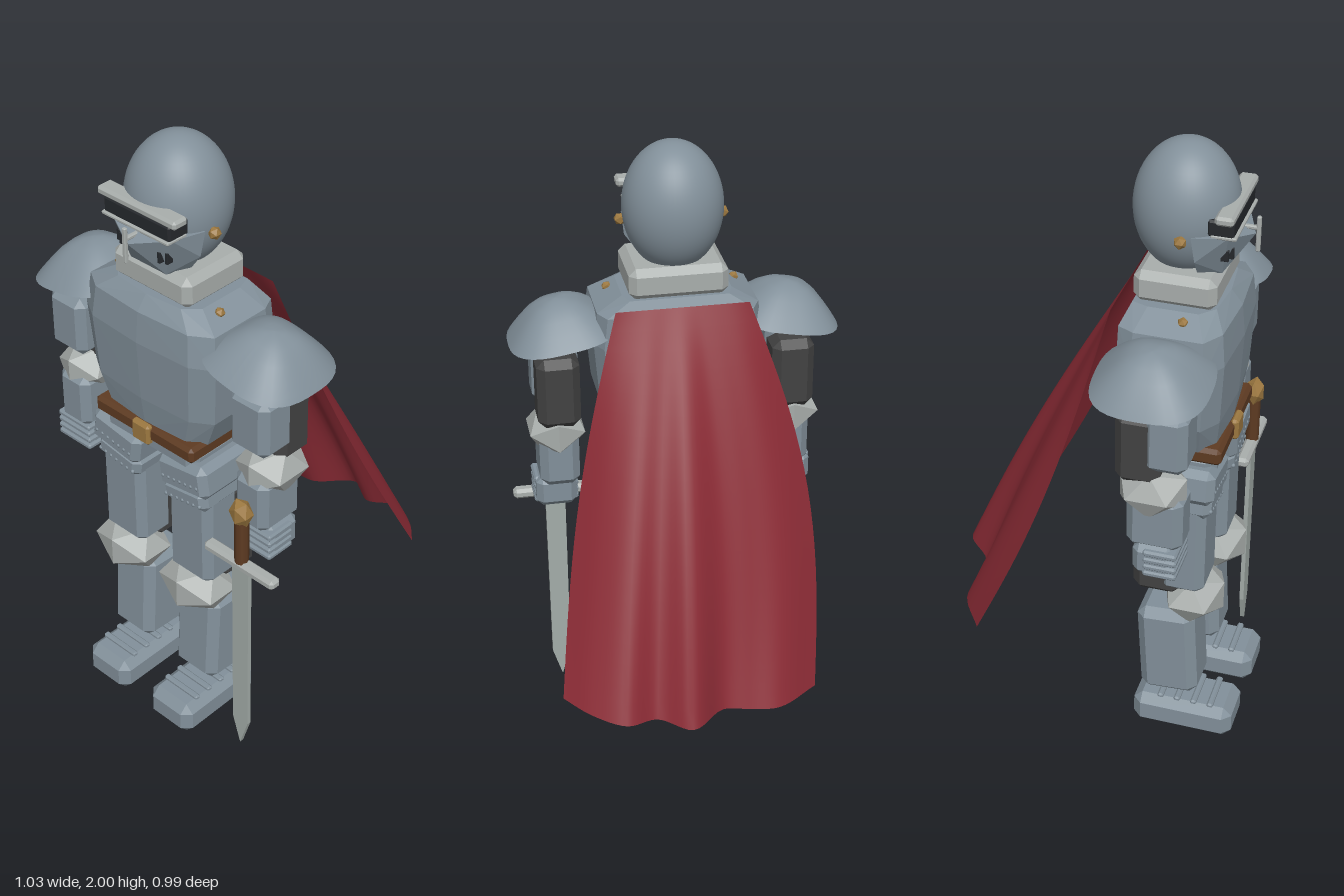
import * as THREE from 'three';
import { ConvexGeometry } from 'three/addons/geometries/ConvexGeometry.js';

const V = (x, y, z) => new THREE.Vector3(x, y, z);
const material = (name, color, side = THREE.FrontSide) => {
  const m = new THREE.MeshStandardMaterial({ color, side });
  m.name = name;
  return m;
};

// Box with all edges cut at 45 degrees
function chamferBox(w, h, d, c) {
  const pts = [];
  for (const x of [-1, 1]) for (const y of [-1, 1]) for (const z of [-1, 1]) {
    pts.push(V(x * w / 2, y * (h / 2 - c), z * (d / 2 - c)));
    pts.push(V(x * (w / 2 - c), y * h / 2, z * (d / 2 - c)));
    pts.push(V(x * (w / 2 - c), y * (h / 2 - c), z * d / 2));
  }
  return new ConvexGeometry(pts);
}

// Faceted ball stretched to the given half sizes
function facetBall(rx, ry, rz) {
  const g = new THREE.IcosahedronGeometry(1, 0);
  g.scale(rx / 0.851, ry / 0.851, rz / 0.851);
  g.computeVertexNormals();
  return g;
}

// Shoulder dome: a lathe whose round plan is pushed towards a rounded square
function pauldronShape() {
  const profile = [[0, 0.112], [0.03, 0.11], [0.065, 0.098], [0.1, 0.074], [0.135, 0.04], [0.158, 0.016], [0.172, 0]];
  const g = new THREE.LatheGeometry(profile.map(p => new THREE.Vector2(...p)), 40);
  const p = g.attributes.position;
  for (let i = 0; i < p.count; i++) {
    const x = p.getX(i), z = p.getZ(i), r = Math.hypot(x, z);
    if (r < 1e-6) continue;
    const k = Math.pow(Math.abs(x / r) ** 2.8 + Math.abs(z / r) ** 2.8, -1 / 2.8);
    p.setX(i, x * k);
    p.setZ(i, z * k);
  }
  g.computeVertexNormals();
  return g;
}

// Billowing cloth: straight at the neck, following a wavy hem below
function capeShape() {
  const hem = new THREE.CatmullRomCurve3([
    V(-0.345, 0.375, -0.315), V(-0.21, 0.372, -0.4), V(-0.11, 0.38, -0.4), V(-0.03, 0.39, -0.4),
    V(0.08, 0.395, -0.49), V(0.18, 0.405, -0.43), V(0.28, 0.42, -0.465), V(0.38, 0.435, -0.41), V(0.455, 0.45, -0.33)]);
  const nu = 48, nv = 20;
  const g = new THREE.PlaneGeometry(1, 1, nu, nv);
  const p = g.attributes.position;
  for (let j = 0; j <= nv; j++) for (let i = 0; i <= nu; i++) {
    const u = i / nu, t = j / nv, s = u * 2 - 1, b = hem.getPoint(u);
    const swell = Math.sin(Math.PI * t);
    const x = THREE.MathUtils.lerp(s * 0.205, b.x, t) + swell * s * (s < 0 ? 0.09 : 0.025);
    const y = THREE.MathUtils.lerp(1.535, b.y, t);
    const z = THREE.MathUtils.lerp(0.085, b.z, t) + swell * (0.045 * s * s - 0.025 * (1 - s * s));
    p.setXYZ(j * (nu + 1) + i, x, y, z);
  }
  g.computeVertexNormals();
  return g;
}

export function createModel() {
  const model = new THREE.Group();
  model.name = 'armouredKnight';
  const steel = material('steel', 0x82909a, THREE.DoubleSide);
  const pale = material('paleSteel', 0xa9aeac);
  const bladeMat = material('bladeSteel', 0xa3aca8);
  const dark = material('darkPadding', 0x424242);
  const slitMat = material('slitBlack', 0x25282c);
  const leather = material('leather', 0x5e3b22);
  const brass = material('brass', 0x9c7840);
  const cloth = material('redCloth', 0x8a2b35, THREE.DoubleSide);

  const add = (name, geo, mat, x, y, z, rx = 0, rz = 0) => {
    const m = new THREE.Mesh(geo, mat);
    m.name = name;
    m.position.set(x, y, z);
    m.rotation.set(rx, 0, rz);
    model.add(m);
    return m;
  };
  // Block given by its minimum and maximum on each axis
  const block = (name, mat, x0, x1, y0, y1, z0, z1, c = 0.02, rx = 0, rz = 0) =>
    add(name, chamferBox(x1 - x0, y1 - y0, z1 - z0, c), mat, (x0 + x1) / 2, (y0 + y1) / 2, (z0 + z1) / 2, rx, rz);

  // Breastplate: convex hull of level rings [y, half width, back z, front z]
  const chest = [];
  for (const [y, w, zb, zf] of [[1.09, 0.2, 0.13, 0.405], [1.2, 0.247, 0.115, 0.42], [1.4, 0.263, 0.113, 0.43],
    [1.5, 0.25, 0.115, 0.42], [1.545, 0.17, 0.135, 0.385]]) {
    for (const s of [-1, 1]) {
      chest.push(V(s * w * 0.9, y, zb), V(s * w, y, zb + 0.05), V(s * w, y, zf - 0.05), V(s * w * 0.74, y, zf - 0.008));
    }
    chest.push(V(0, y, zf + 0.004));
  }
  add('breastplate', new ConvexGeometry(chest), steel, 0, 0, 0);
  block('collar', pale, -0.153, 0.153, 1.54, 1.64, 0.132, 0.378, 0.022);

  // Belt and hips
  block('belt', leather, -0.203, 0.203, 1.055, 1.11, 0.12, 0.424, 0.012);
  block('buckle', brass, -0.036, 0.036, 1.045, 1.115, 0.41, 0.436, 0.008);
  block('hips', steel, -0.19, 0.19, 0.99, 1.08, 0.145, 0.405, 0.03);

  // Helmet
  const helmet = add('helmet', new THREE.SphereGeometry(1, 48, 32), steel, 0, 1.8, 0.25);
  helmet.scale.set(0.155, 0.2, 0.156);
  block('eyeSlit', slitMat, -0.128, 0.128, 1.772, 1.822, 0.34, 0.417, 0.006);
  block('brow', pale, -0.152, 0.152, 1.819, 1.847, 0.365, 0.42, 0.008);
  block('visorRim', pale, -0.13, 0.13, 1.767, 1.778, 0.35, 0.425, 0.003);
  const visorPts = [V(0, 1.735, 0.452)];
  for (const s of [-1, 1]) {
    visorPts.push(V(s * 0.15, 1.77, 0.3), V(s * 0.12, 1.77, 0.4), V(s * 0.14, 1.69, 0.31),
      V(s * 0.1, 1.635, 0.31), V(s * 0.07, 1.632, 0.375));
  }
  add('visor', new ConvexGeometry(visorPts), steel, 0, 0, 0);
  block('visorRidge', pale, -0.007, 0.007, 1.68, 1.79, 0.453, 0.466, 0.003);
  block('visorStrut', pale, -0.007, 0.007, 1.748, 1.76, 0.39, 0.46, 0.003);

  const dome = pauldronShape();
  const rivet = new THREE.SphereGeometry(0.007, 8, 6);
  for (const s of [1, -1]) {
    const side = s > 0 ? 'left' : 'right';
    // Mirrored block: inner and outer x measured from the middle
    const pair = (name, mat, xi, xo, y0, y1, z0, z1, c, rx, rz = 0) =>
      block(side + name, mat, s > 0 ? xi : -xo, s > 0 ? xo : -xi, y0, y1, z0, z1, c, rx, s * rz);

    // Breathing slots and hinge studs
    for (const x of [0.075, 0.095]) pair('BreathSlot', slitMat, x - 0.005, x + 0.005, 1.685, 1.72, 0.375, x < 0.08 ? 0.408 : 0.398, 0.001);
    add(side + 'HelmetStud', facetBall(0.017, 0.017, 0.017), brass, s * 0.158, 1.757, 0.272);
    add(side + 'ChestStud', facetBall(0.014, 0.014, 0.014), brass, s * 0.2, 1.528, 0.298);

    // Arm
    add(side + 'Pauldron', dome, steel, s * 0.347, 1.413, 0.255, 0, -s * 0.17);
    pair('UpperArmPlate', steel, 0.3, 0.447, 1.165, 1.365, 0.25, 0.38, 0.025);
    pair('UpperArmPadding', dark, 0.305, 0.44, 1.11, 1.345, 0.165, 0.3, 0.025);
    add(side + 'Elbow', facetBall(0.087, 0.075, 0.1), pale, s * 0.378, 1.075, 0.27);
    pair('Forearm', steel, 0.31, 0.437, 0.885, 1.075, 0.2, 0.37, 0.025);
    pair('Hand', steel, 0.32, 0.45, 0.8, 0.905, 0.225, 0.35, 0.02);
    for (let i = 0; i < 4; i++) {
      pair('FingerPlate', steel, 0.312, 0.455, 0.803 + i * 0.024, 0.823 + i * 0.024, 0.26, 0.362, 0.006);
    }

    // Hip plates with a row of rivets on each
    for (const [y, h, w, zf] of [[0.972, 0.115, 0.2, 0.415], [0.897, 0.08, 0.18, 0.405]]) {
      pair('HipPlate', steel, 0.142 - w / 2, 0.142 + w / 2, y - h / 2, y + h / 2, 0.148, zf, 0.022, 0, 0.15);
      for (let i = -3; i <= 3; i++) {
        add(side + 'HipRivet', rivet, steel, s * (0.142 + i * 0.023), y - 0.012 + i * 0.0035, zf - 0.003);
      }
    }

    // Leg
    pair('ThighPlate', steel, 0.055, 0.232, 0.575, 0.925, 0.25, 0.39, 0.025);
    pair('ThighPadding', dark, 0.06, 0.225, 0.548, 0.9, 0.16, 0.32, 0.028);
    add(side + 'Knee', facetBall(0.112, 0.078, 0.092), pale, s * 0.143, 0.533, 0.348);
    pair('Shin', steel, 0.055, 0.23, 0.155, 0.482, 0.185, 0.372, 0.028, -0.06);
    pair('Boot', steel, 0.053, 0.232, 0.003, 0.118, 0.17, 0.497, 0.028);
    for (let i = 0; i < 4; i++) {
      pair('BootStrip', steel, 0.07, 0.215, 0.114, 0.13, 0.25 + i * 0.055, 0.27 + i * 0.055, 0.005);
    }
  }

  // Sword held point down in the left hand
  const bladeOutline = new THREE.Shape([[-0.033, 0.77], [-0.031, 0.12], [0, 0.02], [0.031, 0.12], [0.033, 0.77]]
    .map(p => new THREE.Vector2(...p)));
  add('blade', new THREE.ExtrudeGeometry(bladeOutline, { depth: 0.014, bevelEnabled: false }), bladeMat, 0.375, 0, 0.387);
  block('crossguard', pale, 0.235, 0.513, 0.752, 0.786, 0.373, 0.415, 0.01);
  add('grip', new THREE.CylinderGeometry(0.022, 0.022, 0.19, 8), leather, 0.375, 0.875, 0.394);
  add('pommel', facetBall(0.034, 0.042, 0.028), brass, 0.375, 0.965, 0.396);

  add('cape', capeShape(), cloth, 0, 0, 0);
  return model;
}
